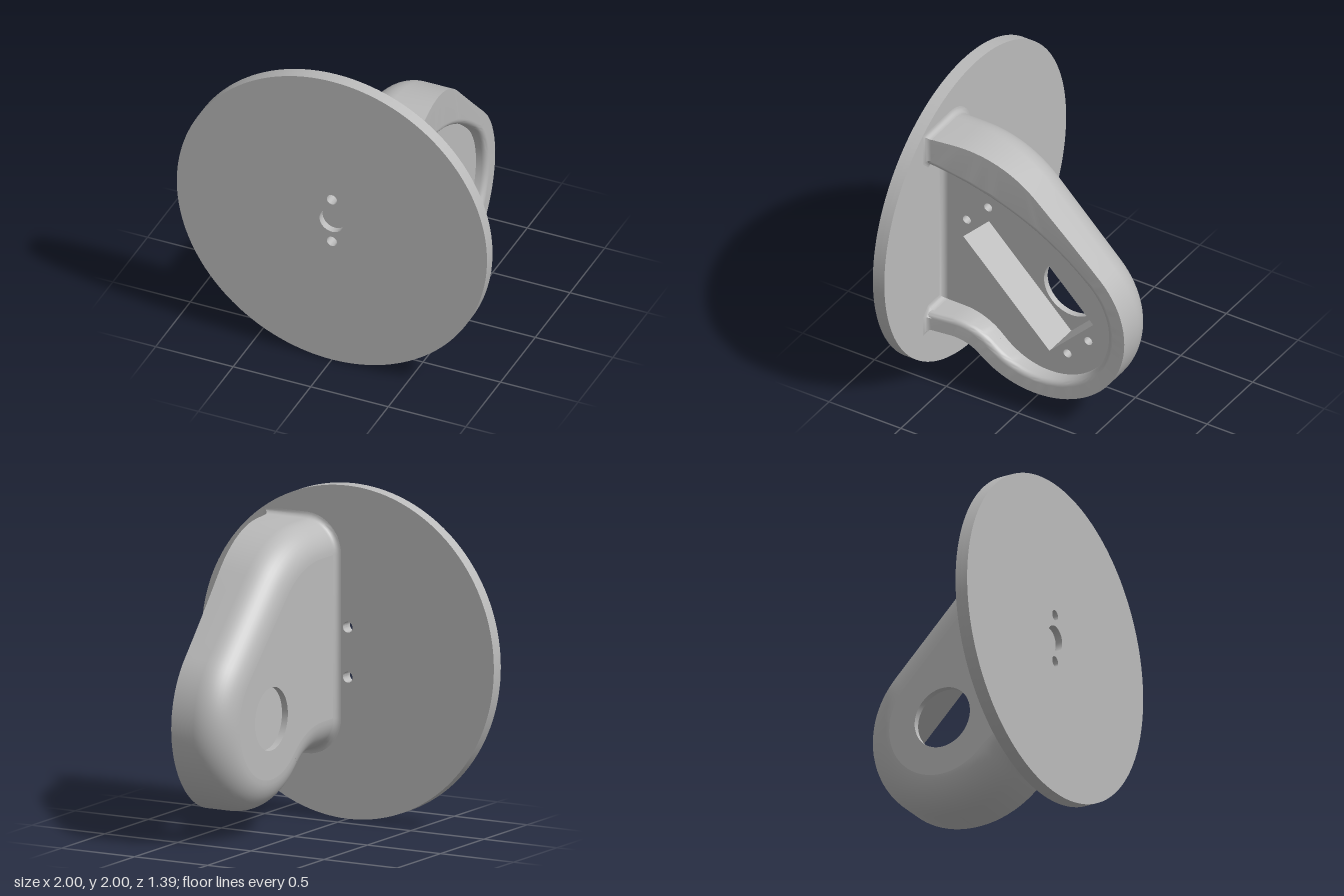
import * as THREE from 'three';
import { toCreasedNormals } from 'three/addons/utils/BufferGeometryUtils.js';

const BACK_Z = 0.615, FRONT_Z = 0.695;     // flange disc
const WALL_X = 0.08, POCKET_X = 0.12, FLOOR_X = 0.36;
const ROUND = 0.2, LIP = 0.035;
const V = (x, y) => new THREE.Vector2(x, y);
const rad = THREE.MathUtils.degToRad;

// points along an arc, angles in degrees
function arc(cx, cy, r, a0, a1, n) {
  return Array.from({ length: n + 1 }, (_, i) => {
    const a = rad(a0 + (a1 - a0) * i / n);
    return V(cx + r * Math.cos(a), cy + r * Math.sin(a));
  });
}

// housing side outline in (-z, y), inset by d
function outerOutline(d) {
  const top = arc(-0.44, 1.03, 0.75 - d, 90, 45, 12);
  const lobe = arc(0.13, 0.72, 0.565 - d, 45, -135, 40);
  const line = [1, 2, 3, 4].map(i => top[12].clone().lerp(lobe[0], i / 5));
  return [V(-BACK_Z, 1.78 - d), ...top, ...line, ...lobe,
    ...arc(-0.461, 0.129, 0.27 + d, 45, 90, 10), V(-BACK_Z, 0.4 + d)];
}

// cavity outline, grown by d; same point count as the outer one
function innerOutline(d) {
  const lobe = arc(0.13, 0.72, 0.445 + d, 45, -135, 40);
  const curve = new THREE.QuadraticBezierCurve(
    V(-BACK_Z, 1.59 + d), V(0.03 + d * 0.5, 1.45 + d), lobe[0]);
  const top = Array.from({ length: 18 }, (_, i) => curve.getPoint(i / 18));
  return [...top, ...lobe,
    ...arc(-0.461, 0.129, 0.39 - d, 45, 90, 10), V(-BACK_Z, 0.52 - d)];
}

// open edge of the housing sweeps outwards towards the disc
const rimX = u => 0.43 + 0.11 * Math.pow(Math.max(0, 0.7 - u) / 1.3, 1.7);
const ring = (pts, x) => pts.map(p =>
  new THREE.Vector3(typeof x === 'function' ? x(p.x) : x, p.y, -p.x));

// skin between successive rings of points
function loft(rings) {
  const n = rings[0].length, index = [];
  for (let k = 0; k < rings.length - 1; k++) {
    for (let i = 0; i < n - 1; i++) {
      const a = k * n + i, c = a + n;
      index.push(a, c, a + 1, a + 1, c, c + 1);
    }
  }
  const g = new THREE.BufferGeometry().setFromPoints(rings.flat());
  g.setIndex(index);
  return toCreasedNormals(g, 0.6);
}

// flat plate with holes
function plate(outline, holes, depth) {
  const shape = new THREE.Shape(outline);
  holes.forEach(h => shape.holes.push(new THREE.Path(h)));
  const g = new THREE.ExtrudeGeometry(shape, { depth, bevelEnabled: false });
  return toCreasedNormals(g, 0.5);
}
const circle = (x, y, r, n = 40) => arc(x, y, r, 0, 360, n).slice(0, n);

export function createModel() {
  const group = new THREE.Group();
  const grey = new THREE.MeshStandardMaterial({ color: 0xbababa, side: THREE.DoubleSide });
  grey.name = 'plain grey';
  const add = (name, geometry) => {
    const mesh = new THREE.Mesh(geometry, grey);
    mesh.name = name;
    group.add(mesh);
    return mesh;
  };

  // flange disc: two through holes and a blind centre recess
  const disc = circle(0, 1, 1, 144);
  const bolts = [circle(0, 1.15, 0.033, 24), circle(0, 0.85, 0.033, 24)];
  const mid = 0.65;
  add('flangeBack', plate(disc, bolts, mid - BACK_Z)).position.z = BACK_Z;
  add('flangeFront', plate(disc, [...bolts, circle(0, 1, 0.08)], FRONT_Z - mid)).position.z = mid;

  // closed side wall with the shaft hole; its inner face is the pocket floor
  const wall = add('sideWall', plate(outerOutline(ROUND), [circle(0.13, 0.72, 0.19, 64)], POCKET_X - WALL_X));
  wall.rotation.y = Math.PI / 2;
  wall.position.x = WALL_X;

  // cavity floor with the slanted motor pocket and four screw holes
  const pocket = [V(-0.47, 1.015), V(-0.165, 1.32), V(0.435, 0.72), V(0.13, 0.415)];
  const screws = [[-0.445, 1.145], [-0.297, 1.29], [0.255, 0.445], [0.4, 0.59]]
    .map(([u, y]) => circle(u, y, 0.028, 24));
  const floor = add('cavityFloor', plate(innerOutline(0), [pocket, ...screws], FLOOR_X - POCKET_X));
  floor.rotation.y = Math.PI / 2;
  floor.position.x = POCKET_X;

  // outer skin: large rounding, then straight to the open edge
  const skin = [];
  for (let i = 0; i <= 12; i++) {
    const a = rad(i * 7.5);
    skin.push(ring(outerOutline(ROUND * (1 - Math.sin(a))), WALL_X + ROUND * (1 - Math.cos(a))));
  }
  skin.push(ring(outerOutline(0), WALL_X + ROUND + 0.01), ring(outerOutline(0), rimX));
  add('housingSkin', loft(skin));

  // rim, rounded inner lip and cavity wall
  const rim = [ring(outerOutline(0), rimX), ring(innerOutline(LIP + 0.004), rimX)];
  for (let i = 0; i <= 6; i++) {
    const a = rad(i * 15);
    rim.push(ring(innerOutline(LIP * (1 - Math.sin(a))), u => rimX(u) - LIP * (1 - Math.cos(a))));
  }
  rim.push(ring(innerOutline(0), FLOOR_X));
  add('housingRim', loft(rim));

  // small fillet where the housing meets the disc
  const foot = [V(0.54, 1.78), ...arc(0.28, 1.58, ROUND, 90, 180, 10),
    ...arc(0.28, 0.6, ROUND, 180, 270, 10), V(0.54, 0.4), V(0.54, 0.485), V(0.505, 0.52),
    V(FLOOR_X, 0.52), V(FLOOR_X, 1.59), V(0.505, 1.59), V(0.54, 1.625)];
  const count = foot.length;
  const edgeNormal = i => {
    const e = foot[(i + 1) % count].clone().sub(foot[i % count]).normalize();
    return V(e.y, -e.x);
  };
  const miters = foot.map((_, i) => {
    const a = edgeNormal(i + count - 1), b = edgeNormal(i);
    return a.clone().add(b).divideScalar(1 + a.dot(b));
  });
  const fillet = [];
  for (let k = 6; k >= 0; k--) {
    const a = rad(k * 15), d = LIP * (1 - Math.cos(a)), z = BACK_Z - LIP * (1 - Math.sin(a));
    const loop = foot.map((p, i) => new THREE.Vector3(p.x + miters[i].x * d, p.y + miters[i].y * d, z));
    fillet.push([...loop, loop[0].clone()]);
  }
  add('footFillet', loft(fillet));

  return group;
}
